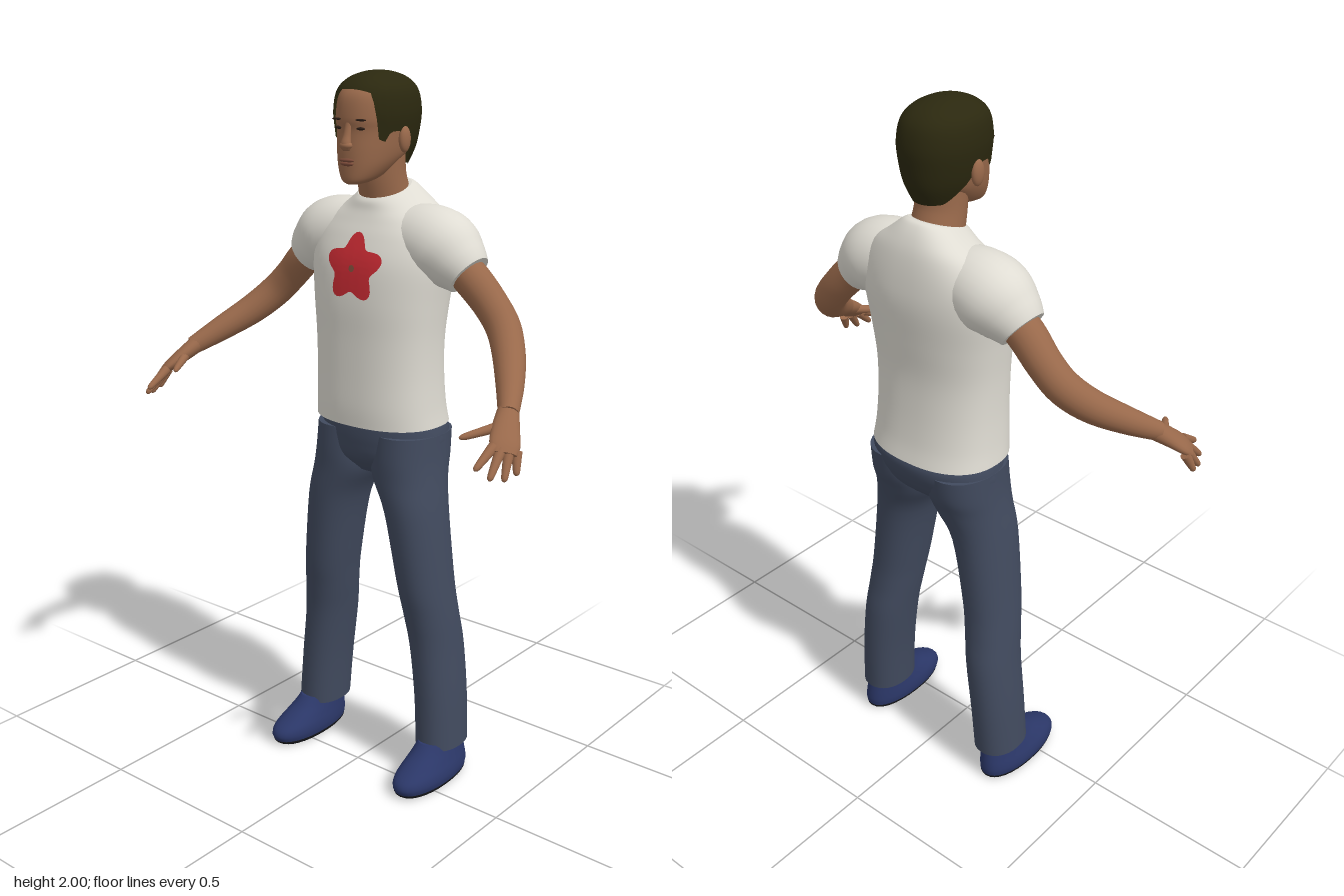
import * as THREE from 'three';

const V = (x, y, z) => new THREE.Vector3(x, y, z);
const mat = (name, color, side = THREE.FrontSide) => {
  const m = new THREE.MeshStandardMaterial({ color, side });
  m.name = name;
  return m;
};

// Catmull-Rom blend of a table of equally long rows at parameter u (0 .. rows-1)
function blend(rows, u) {
  const n = rows.length - 1, i = THREE.MathUtils.clamp(Math.floor(u), 0, n - 1), t = u - i;
  const at = (k) => rows[THREE.MathUtils.clamp(k, 0, n)];
  const [a, b, c, d] = [at(i - 1), at(i), at(i + 1), at(i + 2)];
  return b.map((_, k) => b[k] + 0.5 * t * (c[k] - a[k] + t * (2 * a[k] - 5 * b[k] + 4 * c[k] - d[k]
    + t * (3 * (b[k] - c[k]) + d[k] - a[k]))));
}

// piecewise linear lookup in [input, output] pairs, rising input
function piecewise(pairs, s) {
  const i = Math.max(1, pairs.findIndex(([input]) => s <= input));
  return THREE.MathUtils.mapLinear(s, pairs[i - 1][0], pairs[i][0], pairs[i - 1][1], pairs[i][1]);
}

// skin over closed rings of points, with optional end caps
function surface(rings, caps = true) {
  const pos = [], idx = [], n = rings[0].length;
  rings.forEach((r) => r.forEach((p) => pos.push(p.x, p.y, p.z)));
  for (let i = 0; i < rings.length - 1; i++) {
    for (let j = 0; j < n; j++) {
      const a = i * n + j, b = i * n + (j + 1) % n;
      idx.push(a, a + n, b, b, a + n, b + n);
    }
  }
  if (caps) {
    [rings[0], rings[rings.length - 1]].forEach((ring, end) => {
      const c = pos.length / 3, mid = V(0, 0, 0);
      ring.forEach((p) => mid.addScaledVector(p, 1 / n));
      [mid, ...ring].forEach((p) => pos.push(p.x, p.y, p.z));
      for (let j = 0; j < n; j++) {
        const a = c + 1 + j, b = c + 1 + (j + 1) % n;
        idx.push(c, ...(end ? [b, a] : [a, b]));
      }
    });
  }
  const g = new THREE.BufferGeometry();
  g.setAttribute('position', new THREE.Float32BufferAttribute(pos, 3));
  g.setIndex(idx);
  g.computeVertexNormals();
  return g;
}

// upright body from rows [y, centreX, halfWidth, zFront, zBack, tilt], tilt being optional for a whole table
function column(rows, { power = 2.2, seg = 40, steps = 5, start = () => 0, caps = true } = {}) {
  const count = (rows.length - 1) * steps, rings = [];
  for (let i = 0; i <= count; i++) {
    rings.push(Array.from({ length: seg }, (_, j) => {
      const a = (j / seg) * Math.PI * 2, c = Math.cos(a), s = Math.sin(a);
      const u = THREE.MathUtils.lerp(start(s), rows.length - 1, i / count);
      const [y, cx, rx, zf, zb, tilt = 0] = blend(rows, u);
      const dz = (zf - zb) / 2 * Math.sign(s) * Math.abs(s) ** (2 / power);
      return V(cx + rx * Math.sign(c) * Math.abs(c) ** (2 / power), y + tilt * dz, (zf + zb) / 2 + dz);
    }));
  }
  return surface(rings, caps);
}

// limb along rows [x, y, z, radius, second radius]; ref is the direction of the first radius
function limb(rows, ref = V(0, 0, 1), seg = 20, steps = 5) {
  const count = (rows.length - 1) * steps, rings = [];
  const centre = (u) => V(...blend(rows, u).slice(0, 3));
  for (let i = 0; i <= count; i++) {
    const u = i / steps, r = blend(rows, u), p = centre(u);
    const T = centre(Math.min(u + 0.05, rows.length - 1)).sub(centre(Math.max(u - 0.05, 0))).normalize();
    const U = ref.clone().addScaledVector(T, -ref.dot(T)).normalize(), W = U.clone().cross(T);
    rings.push(Array.from({ length: seg }, (_, j) => {
      const a = (j / seg) * Math.PI * 2;
      return p.clone().addScaledVector(U, r[3] * Math.cos(a)).addScaledVector(W, r[4] * Math.sin(a));
    }));
  }
  return surface(rings);
}
const round = (rows) => rows.map(([x, y, z, r]) => [x, y, z, r, r]);

function mirrored(g) {
  const m = g.clone().scale(-1, 1, 1), ix = m.index.array;
  for (let i = 0; i < ix.length; i += 3) [ix[i], ix[i + 1]] = [ix[i + 1], ix[i]];
  m.computeVertexNormals();
  return m;
}

export function createModel() {
  const model = new THREE.Group();
  model.name = 'standingMan';
  const skin = mat('skin', 0x99694b), hair = mat('hair', 0x2b280f, THREE.DoubleSide), shirt = mat('shirt', 0xdfdcd3);
  const denim = mat('trousers', 0x414a5e), shoeBlue = mat('shoe', 0x2b3768), sole = mat('sole', 0x17181c);
  const red = mat('emblem', 0xc62a32), lip = mat('lips', 0x7d4c3a), dark = mat('eyes', 0x2a1d16);
  const add = (name, g, m) => {
    const mesh = new THREE.Mesh(g, m);
    mesh.name = name;
    model.add(mesh);
    return mesh;
  };
  const pair = (name, g, m) => {
    add(name + 'Left', g, m);
    add(name + 'Right', mirrored(g), m);
  };
  const blob = (x, y, z, sx, sy, sz) => new THREE.SphereGeometry(1, 20, 14).scale(sx, sy, sz).translate(x, y, z);

  // shirt body, narrowing into a neckline that dips at the front
  const torso = add('shirtBody', column([
    [1.055, 0, 0.195, 0.035, -0.257, 0], [1.11, 0, 0.19, 0.038, -0.245, 0], [1.2, 0, 0.187, 0.037, -0.235, 0],
    [1.3, 0, 0.19, 0.036, -0.231, 0], [1.4, 0, 0.2, 0.036, -0.24, 0], [1.5, 0, 0.212, 0.026, -0.25, 0],
    [1.57, 0, 0.205, 0.002, -0.247, 0], [1.625, 0, 0.165, -0.018, -0.236, -0.12],
    [1.66, 0, 0.115, -0.03, -0.22, -0.22], [1.685, 0, 0.08, -0.036, -0.2, -0.3], [1.693, 0, 0.068, -0.044, -0.185, -0.3],
  ], { power: 2.35, seg: 56 }), shirt);
  pair('sleeve', limb(round([[0.09, 1.565, -0.12, 0.092], [0.15, 1.558, -0.122, 0.102], [0.2, 1.543, -0.122, 0.101],
    [0.245, 1.513, -0.12, 0.083], [0.278, 1.486, -0.12, 0.064]]), V(0, 0, 1), 28), shirt);

  // five-lobed flower laid over the chest
  const ray = new THREE.Raycaster();
  const onChest = (radius, lift) => {
    const rings = [];
    for (let i = 0; i <= 8; i++) {
      rings.push(Array.from({ length: 60 }, (_, j) => {
        const a = (j / 60) * Math.PI * 2, r = radius(a) * Math.max(i / 8, 0.001);
        const x = 0.004 + r * Math.cos(a), y = 1.493 + r * Math.sin(a);
        ray.set(V(x, y, 1), V(0, 0, -1));
        return V(x, y, ray.intersectObject(torso)[0].point.z + lift);
      }));
    }
    return surface(rings, false);
  };
  add('flowerEmblem', onChest((a) => 0.078 + 0.016 * Math.cos(5 * (a - Math.PI / 2)), 0.004), red);
  add('flowerCentre', onChest(() => 0.009, 0.006), lip);

  // trousers
  add('trouserHips', column([[0.905, 0, 0.08, -0.04, -0.17], [0.95, 0, 0.185, 0, -0.222],
    [1.0, 0, 0.197, 0.01, -0.25], [1.04, 0, 0.194, 0.012, -0.258], [1.065, 0, 0.188, 0.01, -0.25]]), denim);
  pair('trouserLeg', column([[0.1, 0.226, 0.066, -0.028, -0.2], [0.25, 0.216, 0.066, -0.031, -0.206],
    [0.4, 0.199, 0.068, -0.03, -0.206], [0.5, 0.186, 0.071, -0.019, -0.193], [0.6, 0.172, 0.073, -0.004, -0.186],
    [0.8, 0.141, 0.081, 0.009, -0.19], [0.9, 0.108, 0.099, 0.009, -0.213], [0.96, 0.1, 0.1, 0.009, -0.235],
    [1.03, 0.098, 0.098, 0.005, -0.245]], { seg: 32 }), denim);

  // shoes
  pair('shoe', column([[0.012, 0.235, 0.062, 0.098, -0.193], [0.03, 0.235, 0.065, 0.105, -0.196],
    [0.05, 0.234, 0.063, 0.094, -0.195], [0.072, 0.232, 0.057, 0.055, -0.192], [0.095, 0.23, 0.051, 0.012, -0.188],
    [0.12, 0.228, 0.046, -0.02, -0.182]], { seg: 32 }), shoeBlue);
  pair('sole', column([[0, 0.235, 0.055, 0.085, -0.185], [0.007, 0.235, 0.061, 0.096, -0.192],
    [0.014, 0.235, 0.063, 0.1, -0.194]], { seg: 32 }), sole);

  // bare arms and hands
  pair('arm', limb(round([[0.22, 1.53, -0.12, 0.05], [0.29, 1.475, -0.12, 0.05], [0.35, 1.415, -0.122, 0.047],
    [0.4, 1.362, -0.108, 0.046], [0.45, 1.308, -0.06, 0.043], [0.505, 1.255, 0.015, 0.036], [0.553, 1.207, 0.092, 0.026]])), skin);
  pair('palm', limb([[0.545, 1.214, 0.08, 0.027, 0.025], [0.567, 1.182, 0.122, 0.035, 0.021],
    [0.588, 1.153, 0.157, 0.039, 0.016], [0.6, 1.135, 0.176, 0.031, 0.01]], V(0.057, -0.01, -0.065)), skin);
  [['index', [0.572, 1.15, 0.182], [0.57, 1.108, 0.257]], ['middle', [0.588, 1.143, 0.174], [0.6, 1.084, 0.238]],
    ['ring', [0.602, 1.138, 0.159], [0.619, 1.076, 0.203]], ['little', [0.612, 1.135, 0.14], [0.628, 1.083, 0.163]],
    ['thumb', [0.556, 1.185, 0.118], [0.497, 1.165, 0.219]]].forEach(([name, a, b]) => {
    const rows = [[0, 0.014], [0.5, 0.011], [0.9, 0.008], [1, 0.002]].map(([t, r]) =>
      [...V(...a).lerp(V(...b), t).toArray(), r]);
    pair(name + 'Finger', limb(round(rows), V(1, 0, 0.3), 12, 3), skin);
  });

  // neck, head and face
  add('neck', limb(round([[0, 1.61, -0.125, 0.075], [0, 1.67, -0.115, 0.07], [0, 1.73, -0.1, 0.066],
    [0, 1.8, -0.095, 0.066]]), V(1, 0, 0), 28), skin);
  add('head', column([[1.718, 0, 0.026, 0.034, -0.05, -0.1], [1.732, 0, 0.047, 0.044, -0.09, -0.12],
    [1.765, 0, 0.068, 0.046, -0.14, -0.1], [1.8, 0, 0.08, 0.045, -0.175, 0], [1.85, 0, 0.087, 0.04, -0.187, 0],
    [1.885, 0, 0.09, 0.043, -0.19, 0], [1.94, 0, 0.085, 0.03, -0.183, 0], [1.97, 0, 0.06, -0.01, -0.15, 0],
    [1.985, 0, 0.01, -0.07, -0.09, 0]]), skin);
  add('noseBridge', limb([[0, 1.875, 0.036, 0.01, 0.006], [0, 1.84, 0.044, 0.011, 0.009],
    [0, 1.815, 0.05, 0.016, 0.012], [0, 1.803, 0.046, 0.012, 0.006]], V(1, 0, 0), 16), skin);
  add('noseTip', blob(0, 1.815, 0.049, 0.019, 0.011, 0.014), skin);
  add('upperLip', blob(0, 1.777, 0.046, 0.025, 0.005, 0.006), lip);
  add('lowerLip', blob(0, 1.768, 0.045, 0.022, 0.006, 0.007), lip);
  pair('eye', blob(0.036, 1.858, 0.033, 0.014, 0.004, 0.006), dark);
  pair('eyebrow', blob(0.037, 1.88, 0.036, 0.02, 0.003, 0.005), dark);
  pair('ear', blob(0.096, 1.828, -0.075, 0.013, 0.034, 0.02), skin);

  // short hair: the lower edge follows a hairline around the head
  const hairline = [[-1, 0], [-0.7, 0.05], [-0.2, 1], [0.15, 2], [0.4, 2], [0.5, 1.5], [0.64, 1.6], [0.72, 2.8], [0.8, 3.9], [1, 4.15]];
  add('hair', column([[1.755, 0, 0.066, 0.04, -0.18], [1.8, 0, 0.085, 0.045, -0.2], [1.85, 0, 0.096, 0.045, -0.209],
    [1.9, 0, 0.101, 0.047, -0.212], [1.95, 0, 0.093, 0.036, -0.2], [1.98, 0, 0.068, 0.005, -0.17],
    [1.996, 0, 0.032, -0.04, -0.125], [2, 0, 0.001, -0.08, -0.082]],
  { seg: 72, start: (s) => piecewise(hairline, s), caps: false }), hair);

  return model;
}
